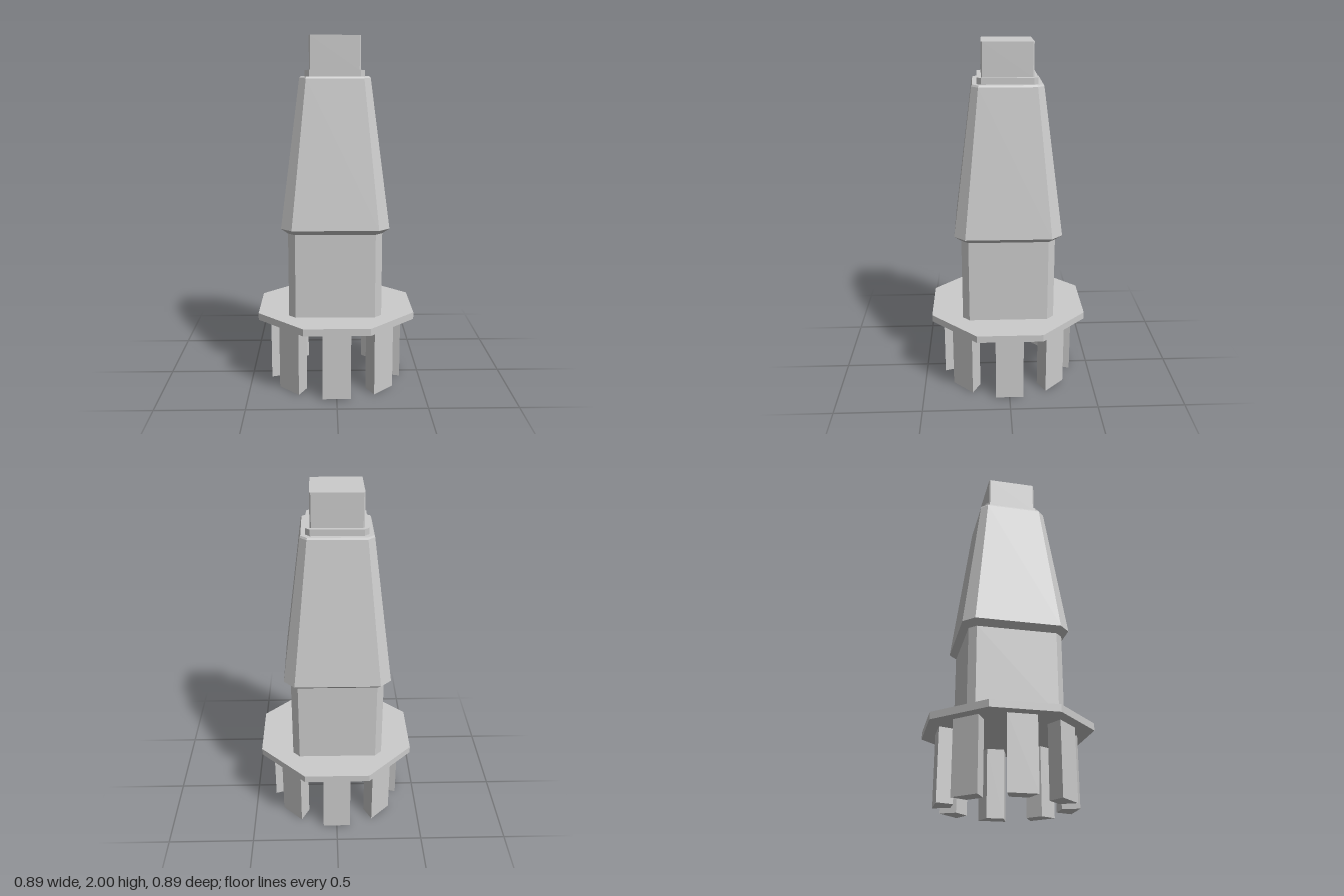
import * as THREE from 'three';

const material = new THREE.MeshStandardMaterial({ color: 0xcccccc, flatShading: true });

// Square with cut corners: half width h, corners cut back to c
const cutSquare = (h, c) => [[h, -c], [h, c], [c, h], [-c, h], [-h, c], [-h, -c], [-c, -h], [c, -h]];

// Skins [y, half, cut] sections from bottom to top and closes both ends
function loft(sections) {
  const rings = sections.map(([y, h, c]) => cutSquare(h, c).map(([x, z]) => [x, y, z]));
  const pos = [];
  const tri = (a, b, c) => pos.push(...a, ...b, ...c);
  for (let i = 0; i + 1 < rings.length; i++) {
    const lo = rings[i], hi = rings[i + 1];
    for (let j = 0; j < 8; j++) {
      const k = (j + 1) % 8;
      tri(lo[j], hi[j], hi[k]);
      tri(lo[j], hi[k], lo[k]);
    }
  }
  const bottom = rings[0], top = rings[rings.length - 1];
  for (let j = 1; j < 7; j++) {
    tri(bottom[0], bottom[j], bottom[j + 1]);
    tri(top[0], top[j + 1], top[j]);
  }
  const geo = new THREE.BufferGeometry();
  geo.setAttribute('position', new THREE.Float32BufferAttribute(pos, 3));
  geo.computeVertexNormals();
  return geo;
}

export function createModel() {
  const model = new THREE.Group();
  model.name = 'tower';

  const add = (name, geometry, parent = model) => {
    const mesh = new THREE.Mesh(geometry, material);
    mesh.name = name;
    parent.add(mesh);
    return mesh;
  };

  // Octagonal base plate
  add('basePlate', loft([[0.4, 0.447, 0.185], [0.44, 0.447, 0.185]]));

  // Stacked body
  const body = new THREE.Group();
  body.name = 'body';
  body.position.set(-0.006, 0, 0.002);
  model.add(body);
  add('column', loft([[0.44, 0.263, 0.224], [0.925, 0.263, 0.224]]), body);
  add('taperedTower', loft([
    [0.92, 0.263, 0.224], [0.95, 0.301, 0.24], [1.77, 0.195, 0.158], [1.78, 0.19, 0.155],
  ]), body);
  add('collar', loft([[1.78, 0.165, 0.141], [1.815, 0.165, 0.141]]), body);
  add('topBlock', loft([[1.815, 0.142, 0.135], [2, 0.142, 0.135]]), body);

  // Eight wedge-shaped legs, wide side outward
  const profile = new THREE.Shape([
    [-0.08, -0.383], [0.08, -0.383], [0.05, -0.29], [-0.05, -0.29],
  ].map(([x, y]) => new THREE.Vector2(x, y)));
  const legGeometry = new THREE.ExtrudeGeometry(profile, { depth: 0.4, bevelEnabled: false });
  legGeometry.rotateX(-Math.PI / 2);
  const legs = new THREE.Group();
  legs.name = 'legs';
  model.add(legs);
  for (let i = 0; i < 8; i++) {
    add('leg', legGeometry, legs).rotation.y = (i * Math.PI) / 4;
  }

  return model;
}
